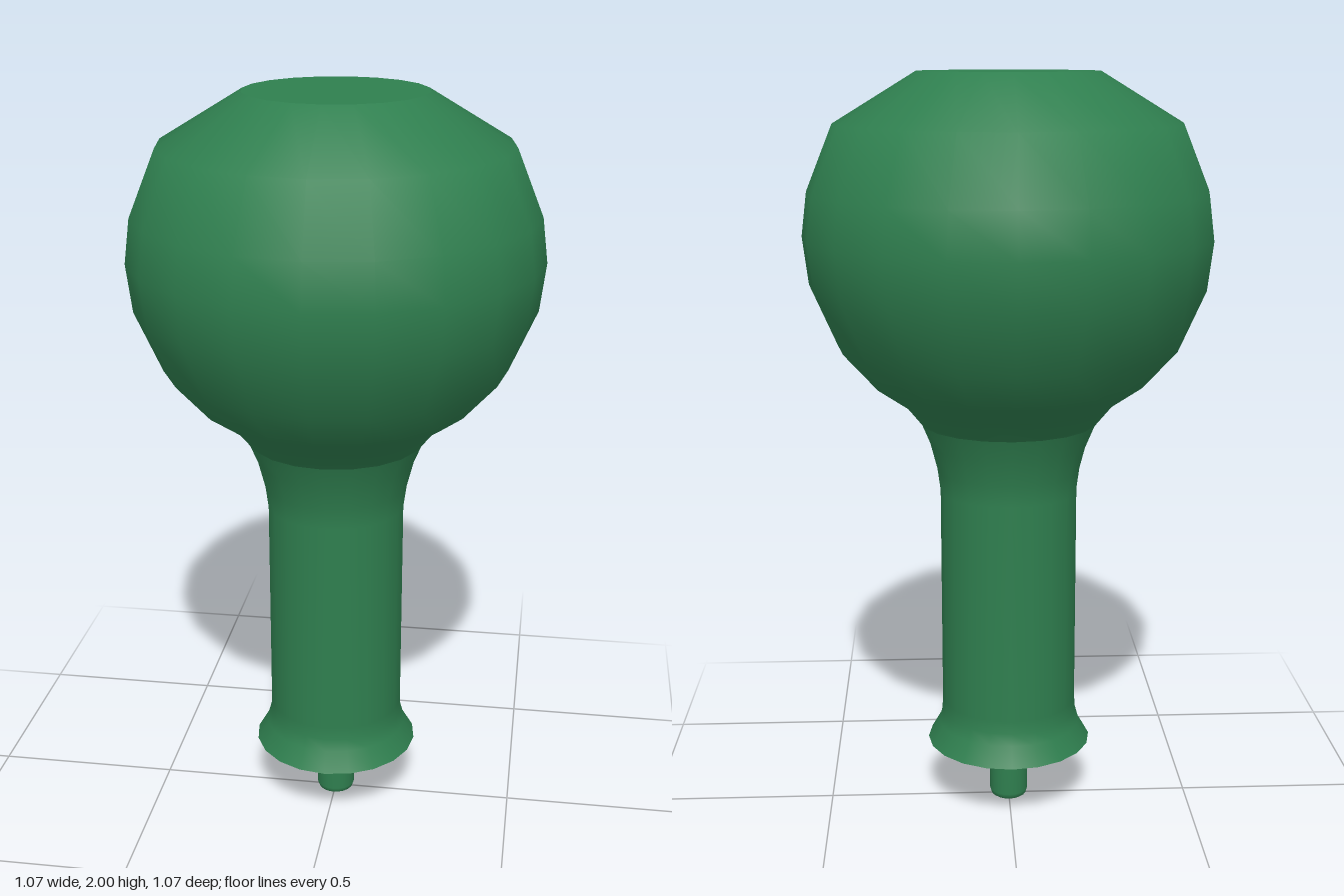
import * as THREE from 'three';

const SIDES = 20;
const green = new THREE.MeshStandardMaterial({ color: 0x2f7f4f, side: THREE.DoubleSide });

// Smooth surface of revolution; points are [radius, height] from bottom to top
function turned(name, points, sides = SIDES) {
  const profile = points.map(([r, y]) => new THREE.Vector2(r, y));
  const mesh = new THREE.Mesh(new THREE.LatheGeometry(profile, sides), green);
  mesh.name = name;
  return mesh;
}

export function createModel() {
  const group = new THREE.Group();
  group.name = 'knobHandle';

  // Round knob, flaring out of the neck
  group.add(turned('knob', [
    [0.235, 1.09], [0.28, 1.145], [0.36, 1.2], [0.45, 1.3], [0.52, 1.46],
    [0.535, 1.585], [0.52, 1.7], [0.45, 1.87], [0.235, 2],
  ]));

  // Flat top of the knob
  group.add(turned('knobTop', [[0.235, 2], [0, 2]]));

  // Straight shaft with a curved neck and flared foot
  group.add(turned('shaft', [
    [0.225, 0.18], [0.195, 0.232], [0.186, 0.265], [0.184, 0.3],
    [0.184, 0.9], [0.192, 0.96], [0.21, 1.03], [0.235, 1.09],
  ]));

  // Underside of the foot, with a shallow groove around the plug
  group.add(turned('footRim', [[0.185, 0.18], [0.225, 0.18]]));
  group.add(turned('footGroove', [[0.16, 0.2], [0.185, 0.2], [0.185, 0.18]]));

  // Plug with a rounded lower edge
  group.add(turned('plug', [[0.155, 0.157], [0.164, 0.162], [0.168, 0.172], [0.168, 0.2]]));
  group.add(turned('plugBase', [[0, 0.157], [0.155, 0.157]]));

  // Threaded-end pin
  group.add(turned('pin', [[0.042, 0], [0.049, 0.005], [0.053, 0.018], [0.053, 0.157]]));
  group.add(turned('pinBase', [[0, 0], [0.042, 0]]));

  return group;
}
